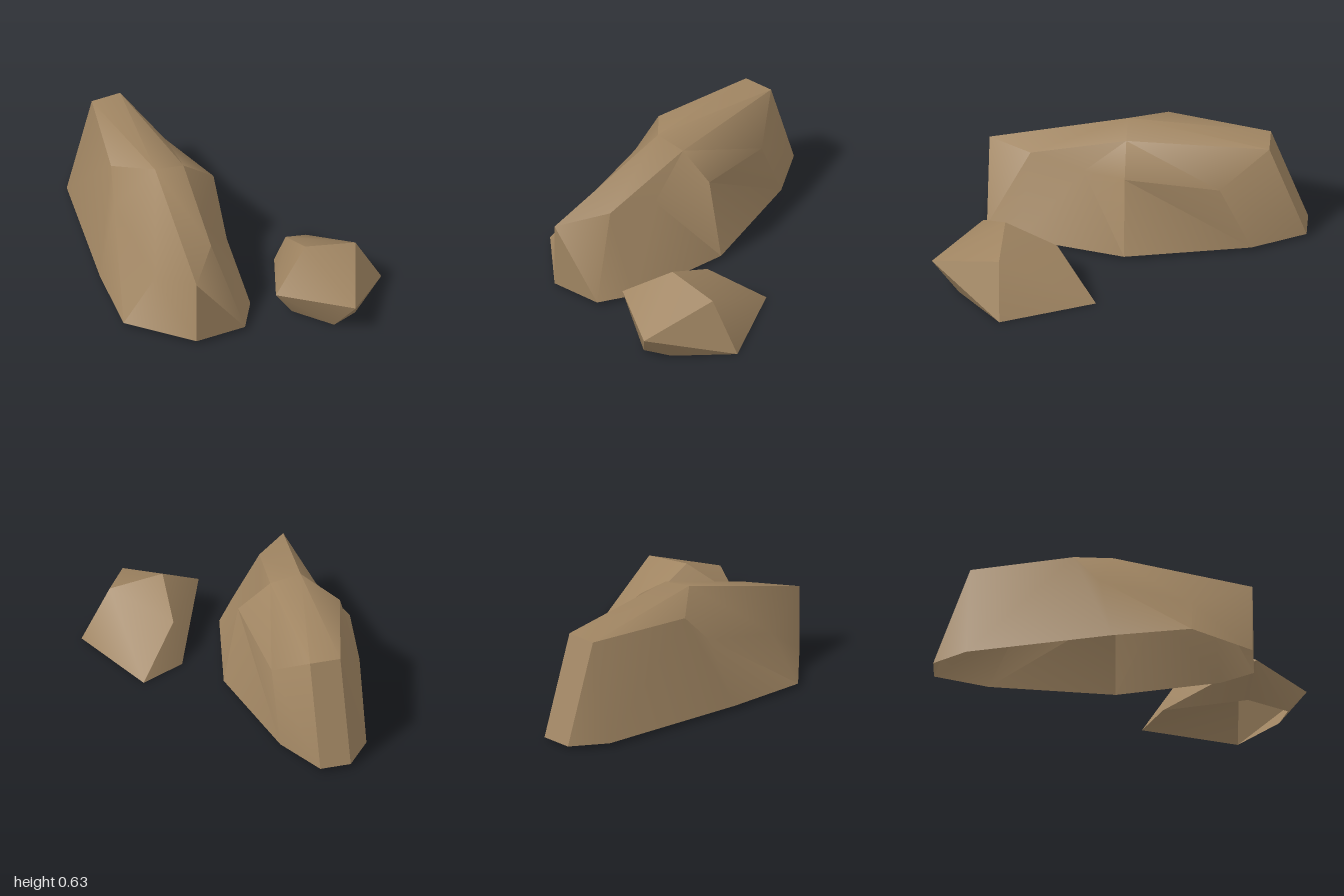
import * as THREE from 'three';
import { toCreasedNormals } from 'three/addons/utils/BufferGeometryUtils.js';

const stone = new THREE.MeshStandardMaterial({ color: 0xa08562, side: THREE.DoubleSide });
stone.name = 'brown stone';

// Builds an open-bottomed rock from faces given as lists of corner points.
function rock(name, faces) {
  const pos = [];
  for (const f of faces) {
    for (let i = 1; i < f.length - 1; i++) pos.push(...f[0], ...f[i], ...f[i + 1]);
  }
  const geo = new THREE.BufferGeometry();
  geo.setAttribute('position', new THREE.Float32BufferAttribute(pos, 3));
  const mesh = new THREE.Mesh(toCreasedNormals(geo, 0.8), stone);
  mesh.name = name;
  return mesh;
}

// Long boulder: ground loop, shoulder loop and a two-point summit
function largeRock() {
  const ground = [
    [-0.32, -1], [-0.15, -1], [-0.01, -0.71], [0.11, -0.03], [-0.03, 0.54],
    [-0.15, 0.72], [-0.44, 0.72], [-0.72, 0.4], [-0.65, -0.03], [-0.46, -0.82],
  ].map(([x, z]) => [x, 0.02, z]);
  const shoulder = [
    [-0.32, 0.57, -0.8], [-0.15, 0.57, -0.8], [-0.01, 0.39, -0.54], [0.03, 0.47, -0.03],
    [-0.16, 0.385, 0.2], [-0.24, 0.44, 0.49], [-0.44, 0.395, 0.72], [-0.53, 0.26, 0.4],
    [-0.53, 0.4, -0.1], [-0.48, 0.565, -0.24],
  ];
  const summitA = [-0.32, 0.63, -0.03];
  const summitB = [-0.15, 0.6, -0.03];
  const n = ground.length;
  const faces = [];
  for (let i = 0; i < n; i++) {
    const j = (i + 1) % n;
    // side wall
    faces.push([ground[i], shoulder[i], shoulder[j], ground[j]]);
    // roof, fanned from the nearer summit point
    if (i === 0) faces.push([summitA, summitB, shoulder[j], shoulder[i]]);
    else if (i === 5) faces.push([summitA, shoulder[j], shoulder[i], summitB]);
    else faces.push([i < 5 ? summitB : summitA, shoulder[j], shoulder[i]]);
  }
  return rock('largeRock', faces);
}

// Small boulder with overhanging front and side corners
function smallRock() {
  const g = [
    [0.52, 0.1], [0.72, 0.61], [0.45, 0.84], [0.3, 0.89], [0.15, 0.68], [0.27, 0.22],
  ].map(([x, z]) => [x, 0, z]);
  const back = [0.29, 0.21, 0.32];
  const side = [0.56, 0.285, 0.62];
  const front = [0.38, 0.15, 0.99];
  const corner = [0.03, 0.18, 0.73];
  const peak = [0.27, 0.34, 0.6];
  return rock('smallRock', [
    // walls
    [g[0], side, g[1]], [g[1], side, front, g[2]], [g[2], front, g[3]],
    [g[3], front, corner, g[4]], [g[4], corner, g[5]], [g[5], corner, back],
    [g[5], back, g[0]], [g[0], back, side],
    // top
    [peak, side, back], [peak, front, side], [peak, corner, front], [peak, back, corner],
  ]);
}

export function createModel() {
  const group = new THREE.Group();
  group.name = 'rocks';
  group.add(largeRock(), smallRock());
  return group;
}
